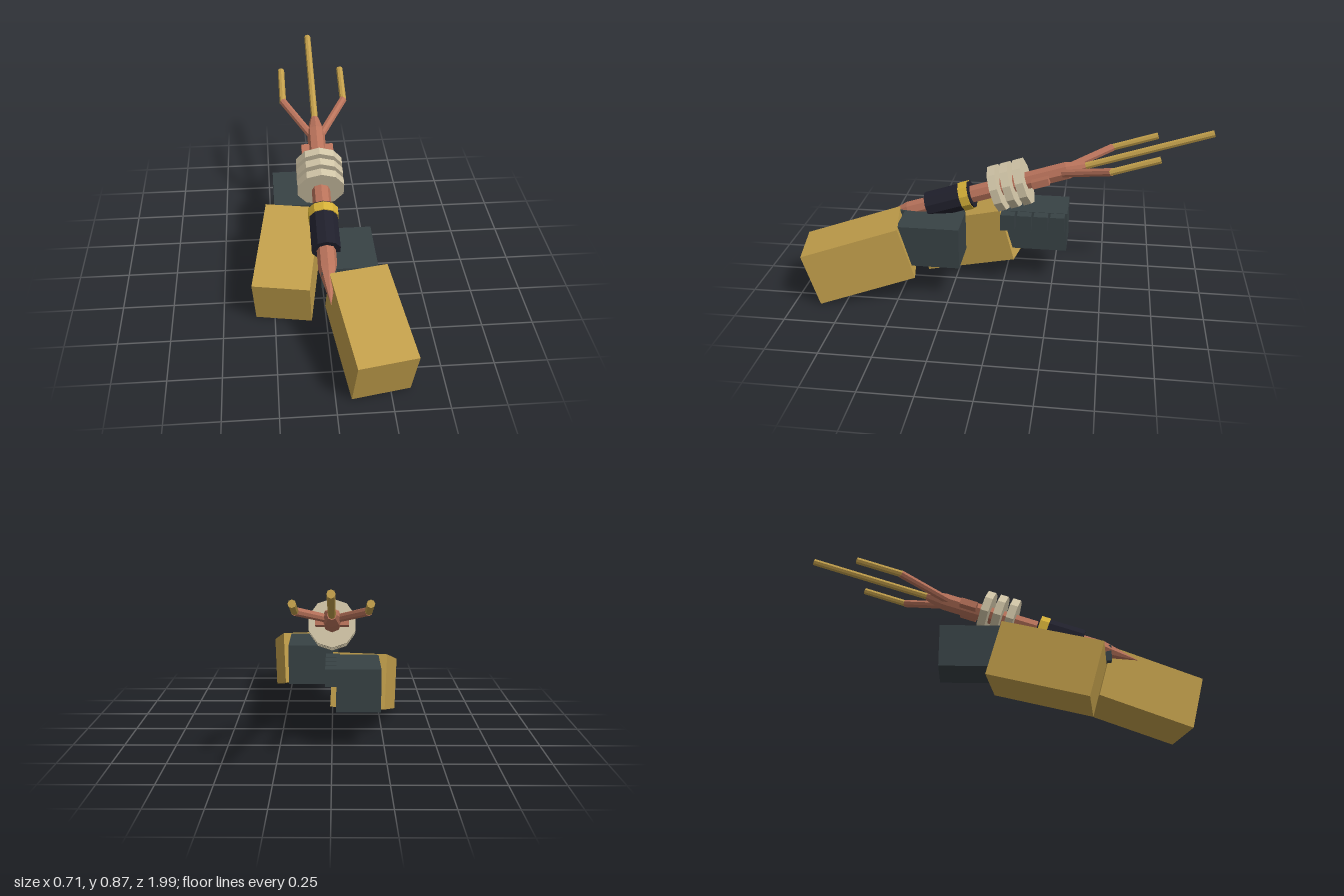
import * as THREE from 'three';

const flat = (name, color) => {
  const m = new THREE.MeshStandardMaterial({ color, flatShading: true });
  m.name = name;
  return m;
};

export function createModel() {
  const gold = flat('gold', 0xc29f4b);
  const copper = flat('copper', 0xb9735b);
  const bone = flat('bone', 0xd0c4a6);
  const black = flat('black', 0x20202c);
  const grey = flat('grey', 0x384245);
  const yellow = flat('yellow', 0xd4af37);
  const rad = THREE.MathUtils.degToRad;

  const root = new THREE.Group();
  root.name = 'staffAndArms';

  const add = (parent, name, geometry, material, x = 0, y = 0, z = 0) => {
    const mesh = new THREE.Mesh(geometry, material);
    mesh.name = name;
    mesh.position.set(x, y, z);
    parent.add(mesh);
    return mesh;
  };

  // Staff: built along +y from its pointed tip, then tilted back
  const staff = new THREE.Group();
  staff.name = 'staff';
  staff.position.set(0, 0.325, 0.655);
  staff.rotation.x = -rad(72);
  root.add(staff);

  // Round part between two distances along the staff
  const turned = (name, from, to, r0, r1, sides, material, x = 0) =>
    add(staff, name, new THREE.CylinderGeometry(r1, r0, to - from, sides), material, x, (from + to) / 2, 0);

  turned('point', 0, 0.185, 0, 0.045, 8, copper);
  turned('shaft', 0.185, 1.02, 0.045, 0.045, 8, copper);
  turned('shaftTaper', 1.02, 1.11, 0.045, 0.022, 8, copper);
  turned('gripWrap', 0.29, 0.525, 0.07, 0.07, 10, black);
  turned('gripBand', 0.472, 0.518, 0.075, 0.075, 10, yellow);
  for (const s of [0.662, 0.727, 0.792]) turned('ring', s - 0.02, s + 0.02, 0.119, 0.119, 10, bone);
  add(staff, 'crossBar', new THREE.BoxGeometry(0.16, 0.085, 0.035), copper, 0, 0.885, -0.005);

  // Three-pronged head
  turned('middleProng', 1.1, 1.73, 0.0175, 0.0175, 8, gold);
  for (const side of [-1, 1]) {
    const start = new THREE.Vector3(0, 0.95, 0);
    const span = new THREE.Vector3(side * 0.16, 1.24, 0).sub(start);
    const branch = add(staff, 'branch', new THREE.CylinderGeometry(0.02, 0.02, span.length(), 8), copper);
    branch.position.copy(start).addScaledVector(span, 0.5);
    branch.quaternion.setFromUnitVectors(new THREE.Vector3(0, 1, 0), span.clone().normalize());
    turned('sideProng', 1.23, 1.47, 0.0175, 0.0175, 8, gold, side * 0.16);
  }

  // Arms with fists; the right one sits further back
  const arm = (side, dz) => {
    const group = new THREE.Group();
    group.name = side > 0 ? 'leftArm' : 'rightArm';
    group.position.z = dz;
    root.add(group);

    const sleeve = add(group, 'sleeve', new THREE.BoxGeometry(0.274, 0.274, 0.49), gold, side * 0.172, 0.201, 0.699);
    sleeve.rotation.set(rad(16), rad(10) * side, 0, 'YXZ');

    add(group, 'hand', new THREE.BoxGeometry(0.21, 0.208, 0.305), grey, side * 0.125, 0.292, 0.342);
    for (let i = 0; i < 4; i++) {
      add(group, 'finger', new THREE.BoxGeometry(0.07, 0.084, 0.071), grey, side * 0.003, 0.352, 0.236 + i * 0.083);
    }
  };
  arm(1, 0);
  arm(-1, -0.508);

  return root;
}
